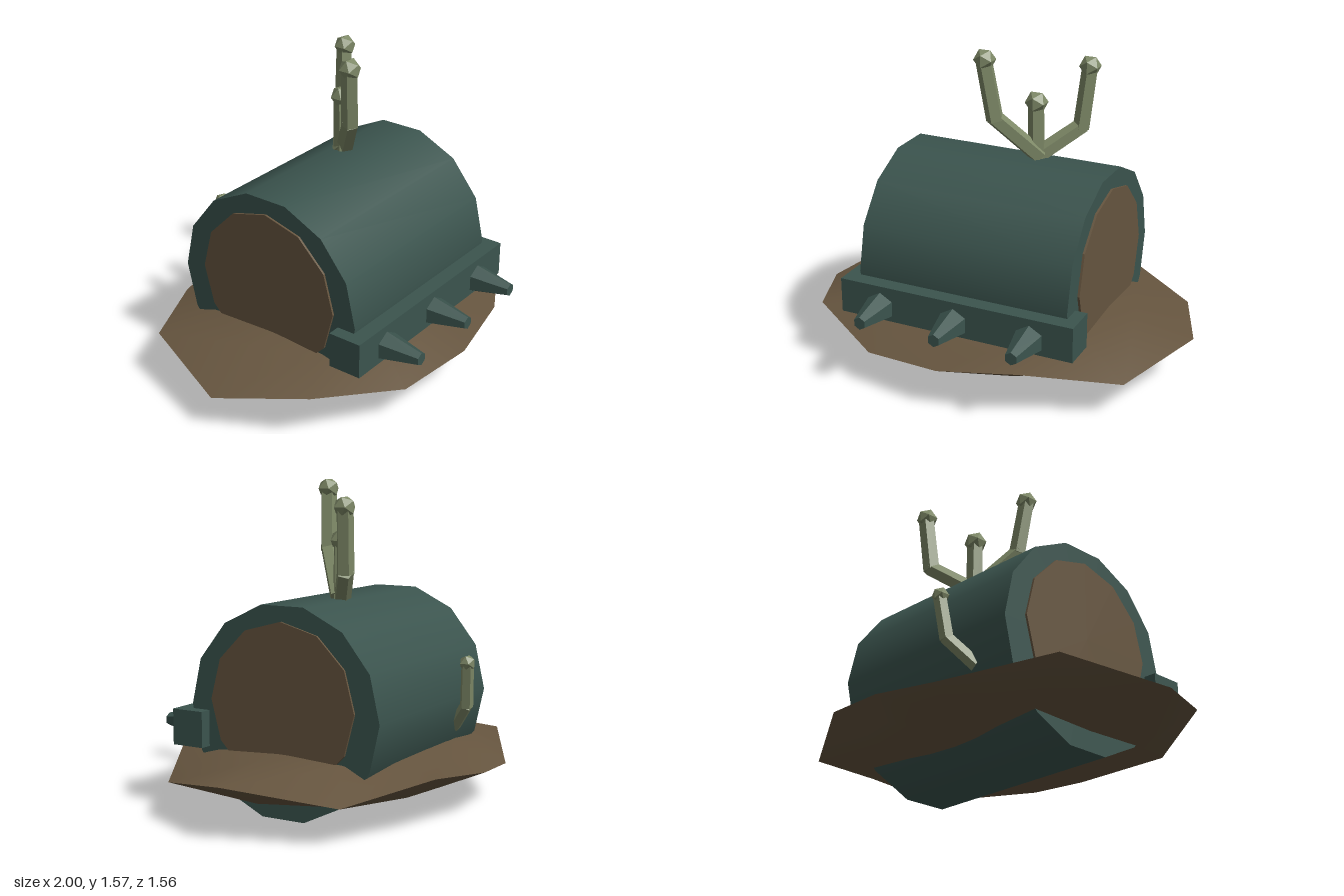
import * as THREE from 'three';

const mat = (name, color, extra = {}) => {
  const m = new THREE.MeshStandardMaterial({ color, ...extra });
  m.name = name;
  return m;
};

export function createModel() {
  const model = new THREE.Group();
  const teal = mat('dark teal', 0x3b544e);
  const tealFlat = teal;
  const brown = mat('earth brown', 0x66553f);
  const olive = mat('olive twig', 0x7f8a68);

  const add = (parent, name, geo, material, x = 0, y = 0, z = 0) => {
    const mesh = new THREE.Mesh(geo, material);
    mesh.name = name;
    mesh.position.set(x, y, z);
    parent.add(mesh);
    return mesh;
  };
  // faceted normals baked into the geometry
  const facet = (geo) => {
    const g = geo.index ? geo.toNonIndexed() : geo;
    g.computeVertexNormals();
    return g;
  };

  // Barrel lying along x, with inset-coloured end discs
  add(model, 'barrel', new THREE.CylinderGeometry(0.515, 0.515, 1.09, 14).rotateZ(Math.PI / 2), teal, 0, 0.503, -0.003);
  for (const s of [-1, 1]) {
    add(model, s > 0 ? 'leftEndDisc' : 'rightEndDisc',
      facet(new THREE.CylinderGeometry(0.393, 0.393, 0.02, 12).rotateZ(Math.PI / 2)), brown, s * 0.546, 0.54, 0);
  }

  // Mound: uneven rim, closed by rings above and below
  const rim = [[1, 0.03], [0.81, -0.47], [0.38, -0.715], [0, -0.78], [-0.34, -0.735], [-0.82, -0.47],
    [-1, 0.03], [-0.81, 0.46], [-0.4, 0.7], [0, 0.765], [0.38, 0.7], [0.81, 0.46]];
  const rimY = [0.25, 0.178, 0.25, 0.21, 0.18, 0.25, 0.18, 0.25, 0.18, 0.21, 0.25, 0.178];
  const shell = (scales, height, up) => {
    const n = rim.length, pos = [], idx = [];
    scales.forEach((s) => rim.forEach(([x, z], k) =>
      pos.push(x * s, s === 1 ? rimY[k] : height(s, x * s), z * s)));
    pos.push(0, height(0, 0), 0);
    const tri = (a, b, c) => (up ? idx.push(a, b, c) : idx.push(a, c, b));
    for (let r = 0; r < scales.length; r++) {
      for (let k = 0; k < n; k++) {
        const a = r * n + k, b = r * n + (k + 1) % n;
        if (r === scales.length - 1) tri(a, b, scales.length * n);
        else { tri(a, b, b + n); tri(a, b + n, a + n); }
      }
    }
    const g = new THREE.BufferGeometry();
    g.setAttribute('position', new THREE.Float32BufferAttribute(pos, 3));
    g.setIndex(idx);
    g.computeVertexNormals();
    return g;
  };
  const mound = new THREE.Group();
  mound.name = 'mound';
  model.add(mound);
  add(mound, 'moundTop', shell([1, 0.7, 0.35],
    (s, x) => (s > 0.5 ? 0.27 + 0.042 * (x / 0.7) ** 2 : 0.318), true), brown);
  add(mound, 'moundUnderside', shell([1, 0.72, 0.35],
    (s) => (s > 0.5 ? 0.115 : 0.086), false), brown);

  // Front beam with three blunt pegs
  add(model, 'beam', new THREE.BoxGeometry(1.215, 0.175, 0.17), teal, -0.002, 0.393, 0.5);
  for (const x of [-0.395, -0.003, 0.388]) {
    add(model, 'peg', facet(new THREE.CylinderGeometry(0.032, 0.076, 0.2, 6).rotateX(Math.PI / 2)),
      tealFlat, x, 0.373, 0.678);
  }

  // Twigs: tapered five-sided segments along a path, ending in a bud
  const V = (p) => new THREE.Vector3(...p);
  const twig = (name, points, r, budR) => {
    const group = new THREE.Group();
    group.name = name;
    model.add(group);
    for (let i = 0; i < points.length - 1; i++) {
      const a = V(points[i]), b = V(points[i + 1]), d = b.clone().sub(a);
      const seg = add(group, 'segment',
        facet(new THREE.CylinderGeometry(r * 0.95, r, d.length() + r * 0.4, 5)), olive);
      seg.position.copy(a).add(b).multiplyScalar(0.5);
      seg.quaternion.setFromUnitVectors(new THREE.Vector3(0, 1, 0), d.normalize());
    }
    const end = points[points.length - 1];
    add(group, 'bud', facet(new THREE.IcosahedronGeometry(budR, 0)), olive, end[0], end[1] + budR * 0.4, end[2]);
  };
  twig('middleSprout', [[0.13, 0.97, -0.07], [0.125, 1.26, -0.07]], 0.044, 0.058);
  twig('rightSprout', [[0.14, 1.02, -0.06], [-0.02, 1.23, 0.09], [-0.06, 1.5, 0.115]], 0.044, 0.055);
  twig('leftSprout', [[0.12, 1.0, -0.07], [0.31, 1.15, -0.2], [0.34, 1.43, -0.215]], 0.044, 0.055);
  twig('backSprout', [[-0.31, 0.35, -0.47], [-0.23, 0.47, -0.57], [-0.2, 0.67, -0.587]], 0.034, 0.042);

  return model;
}
